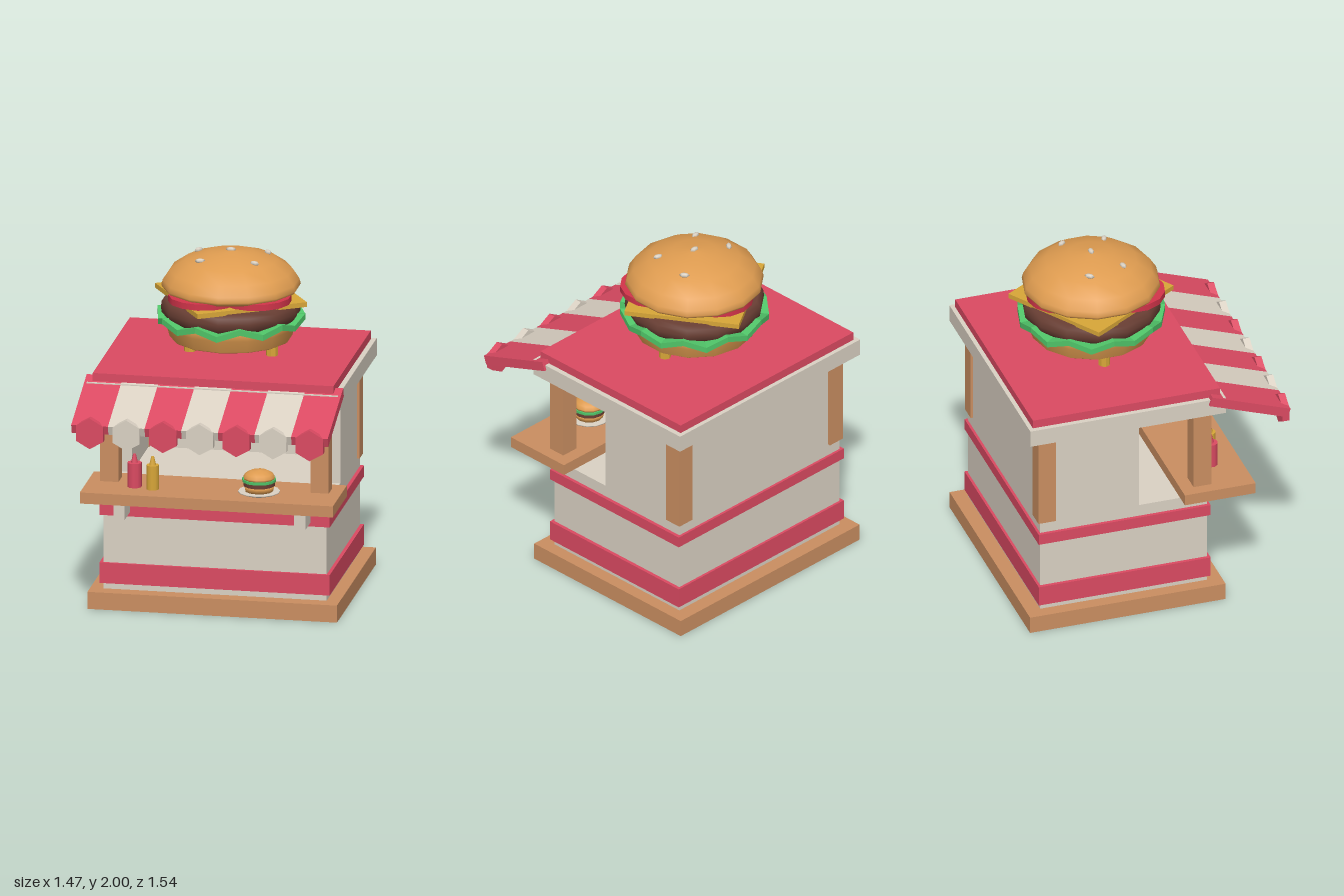
import * as THREE from 'three';

const mat = (name, color) => {
  const m = new THREE.MeshStandardMaterial({ color });
  m.name = name;
  return m;
};

export function createModel() {
  const cream = mat('cream', 0xdad1c3);
  const red = mat('red', 0xdb4a62);
  const wood = mat('wood', 0xca8e61);
  const bun = mat('bun', 0xdf9c50);
  const meat = mat('meat', 0x6a3f34);
  const green = mat('lettuce green', 0x50c468);
  const yellow = mat('mustard yellow', 0xd8a638);
  const purple = mat('menu purple', 0x45305f);
  const tomatoRed = mat('tomato red', 0xd2344a);

  const model = new THREE.Group();
  model.name = 'burgerStand';

  const add = (parent, name, geometry, material, x = 0, y = 0, z = 0) => {
    const mesh = new THREE.Mesh(geometry, material);
    mesh.name = name;
    mesh.position.set(x, y, z);
    parent.add(mesh);
    return mesh;
  };
  // Box given by its lower and upper limits on each axis
  const box = (name, material, x0, x1, y0, y1, z0, z1, parent = model) =>
    add(parent, name, new THREE.BoxGeometry(x1 - x0, y1 - y0, z1 - z0), material,
      (x0 + x1) / 2, (y0 + y1) / 2, (z0 + z1) / 2);
  const facet = (geometry) => {
    const g = geometry.toNonIndexed();
    g.computeVertexNormals();
    return g;
  };
  const lathe = (points, sides) =>
    new THREE.LatheGeometry(points.map(([r, y]) => new THREE.Vector2(r, y)), sides);

  // Base, lower body and trim bands
  box('base', wood, -0.715, 0.715, 0, 0.1, -0.77, 0.39);
  box('lowerBody', cream, -0.64, 0.64, 0.1, 0.67, -0.685, 0.305);
  box('lowerBand', red, -0.66, 0.66, 0.135, 0.255, -0.7, 0.32);
  box('upperBand', red, -0.66, 0.66, 0.535, 0.6, -0.7, 0.32);

  // Walls, corner posts and counter brackets
  box('backWall', cream, -0.64, 0.64, 0.67, 1.23, -0.685, -0.61);
  for (const s of [-1, 1]) {
    add(model, 'sideWall', new THREE.BoxGeometry(0.085, 0.56, 0.511), cream, s * 0.5975, 0.95, -0.3555);
    for (const z of [-0.6475, 0.2725]) {
      add(model, 'cornerPost', new THREE.BoxGeometry(0.105, 0.56, 0.105), wood, s * 0.6025, 0.95, z);
    }
    add(model, 'counterBracket', new THREE.BoxGeometry(0.065, 0.11, 0.17), cream, s * 0.518, 0.615, 0.39);
  }
  box('counter', wood, -0.725, 0.725, 0.67, 0.735, 0.145, 0.565);

  // Menu board on the back wall
  box('menuFrame', wood, -0.365, 0.365, 0.81, 1.21, -0.612, -0.585);
  box('menuPanel', purple, -0.348, 0.348, 0.828, 1.192, -0.586, -0.578);
  [[1.115, 0.17], [1.04, 0.21], [0.967, 0.162], [0.893, 0.184]].forEach(([y, w]) =>
    box('menuLine', cream, -w, w, y - 0.013, y + 0.013, -0.579, -0.571));

  // Roof
  box('roofSlab', cream, -0.72, 0.72, 1.23, 1.33, -0.77, 0.39);
  box('roofTop', red, -0.69, 0.69, 1.33, 1.38, -0.745, 0.365);

  // Striped awning with hexagonal flaps along its lower edge
  const awning = new THREE.Group();
  awning.name = 'awning';
  awning.position.set(0, 1.247, 0.529);
  awning.rotation.x = 0.337;
  model.add(awning);
  const flap = facet(new THREE.CylinderGeometry(0.09, 0.09, 0.04, 6).rotateX(Math.PI / 2));
  for (let i = 0; i < 7; i++) {
    const material = i % 2 ? cream : red;
    const x = (i - 3) * 0.21;
    add(awning, 'awningStripe', new THREE.BoxGeometry(0.21, 0.055, 0.49), material, x);
    add(model, 'awningFlap', flap, material, x, 1.145, 0.75);
  }

  // Rooftop burger sign
  const sign = new THREE.Group();
  sign.name = 'burgerSign';
  sign.position.set(0, 0, -0.17);
  model.add(sign);
  for (const s of [-1, 1]) {
    add(sign, 'signPost', facet(new THREE.CylinderGeometry(0.034, 0.034, 0.16, 8)), yellow, s * 0.235, 1.45, 0);
  }
  add(sign, 'bottomBun', lathe([[0, 1.475], [0.335, 1.475], [0.345, 1.482], [0.365, 1.55],
    [0.378, 1.59], [0.36, 1.605], [0, 1.605]], 14), bun);

  // Wavy lettuce: neighbouring rim corners go up and down
  const wavy = (r, h, wave, n) => {
    const g = new THREE.CylinderGeometry(r, r, h, n);
    const p = g.attributes.position;
    for (let i = 0; i < p.count; i++) {
      const x = p.getX(i), z = p.getZ(i);
      if (Math.hypot(x, z) < 0.01) continue;
      const k = Math.round(Math.atan2(x, z) / (2 * Math.PI / n)) + n;
      p.setY(i, p.getY(i) + (k % 2 ? wave : -wave));
      const grow = 1 + 0.02 * Math.sin(k * 2.3);
      p.setX(i, x * grow);
      p.setZ(i, z * grow);
    }
    return facet(g);
  };
  add(sign, 'lettuce', wavy(0.42, 0.034, 0.019, 20), green, 0, 1.6, 0);
  add(sign, 'patty', lathe([[0, 1.6], [0.37, 1.6], [0.39, 1.625], [0.395, 1.655],
    [0.39, 1.69], [0.37, 1.712], [0, 1.712]], 14), meat);
  add(sign, 'cheese', new THREE.BoxGeometry(0.66, 0.028, 0.66), yellow, 0, 1.72, 0).rotation.y = 0.56;
  for (const [x, z] of [[-0.12, 0.19], [0.17, 0.14], [-0.01, -0.18]]) {
    add(sign, 'tomatoSlice', new THREE.CylinderGeometry(0.2, 0.2, 0.036, 14), tomatoRed, x, 1.753, z);
  }
  add(sign, 'topBun', lathe([[0, 1.755], [0.36, 1.757], [0.385, 1.77], [0.393, 1.785], [0.385, 1.815],
    [0.348, 1.872], [0.26, 1.932], [0.13, 1.973], [0, 1.986]], 14), bun);
  [[-0.2, -0.075, 1.953, 0.9], [0.19, -0.11, 1.95, -0.9], [0, 0, 1.988, 0],
    [-0.15, 0.14, 1.953, 0.2], [0.16, 0.13, 1.953, -0.4]].forEach(([x, z, y, turn]) => {
    const seed = add(sign, 'seed', new THREE.SphereGeometry(0.03, 6, 4), cream, x, y, z);
    seed.scale.set(1, 0.45, 0.55);
    seed.rotation.y = turn;
  });

  // Small burger on a plate
  const snack = new THREE.Group();
  snack.name = 'counterBurger';
  snack.position.set(0.27, 0.735, 0.395);
  model.add(snack);
  add(snack, 'plate', lathe([[0, 0], [0.085, 0], [0.118, 0.012], [0.118, 0.018], [0, 0.018]], 14), cream);
  add(snack, 'smallBottomBun', lathe([[0, 0.018], [0.08, 0.018], [0.088, 0.05], [0, 0.052]], 12), bun);
  add(snack, 'smallPatty', new THREE.CylinderGeometry(0.09, 0.09, 0.024, 12), meat, 0, 0.062, 0);
  add(snack, 'smallLettuce', new THREE.CylinderGeometry(0.097, 0.097, 0.015, 12), green, 0, 0.082, 0);
  add(snack, 'smallTopBun', lathe([[0, 0.089], [0.088, 0.089], [0.09, 0.1], [0.078, 0.119],
    [0.05, 0.134], [0, 0.141]], 12), bun);

  // Sauce bottles
  const bottle = (name, material, x, z, r) => {
    add(model, name + 'Body', new THREE.CylinderGeometry(r, r, 0.142, 10), material, x, 0.806, z);
    add(model, name + 'Nozzle', new THREE.CylinderGeometry(0.008, 0.02, 0.05, 8), material, x, 0.902, z);
  };
  bottle('ketchup', red, -0.445, 0.39, 0.041);
  bottle('mustard', yellow, -0.335, 0.42, 0.036);

  return model;
}
